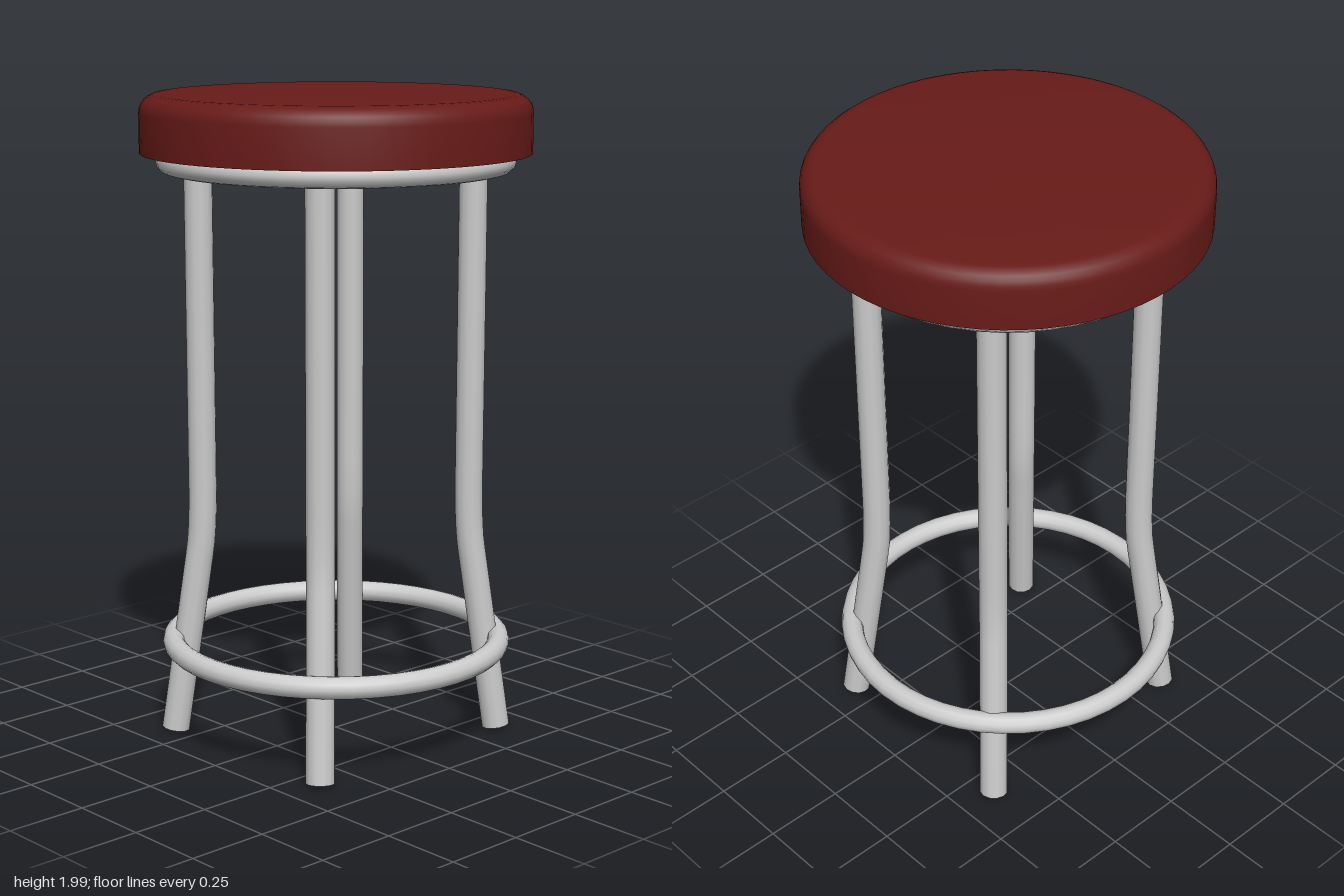
import * as THREE from 'three';
import { toCreasedNormals } from 'three/addons/utils/BufferGeometryUtils.js';

const metal = new THREE.MeshStandardMaterial({ color: 0xcccccc });
const upholstery = new THREE.MeshStandardMaterial({ color: 0x681b18 });

function addMesh(parent, name, geometry, material) {
  const mesh = new THREE.Mesh(geometry, material);
  mesh.name = name;
  parent.add(mesh);
  return mesh;
}

// Round cushion: flat underside, straight wall, rounded upper edge
function seatGeometry() {
  const radius = 0.59, bottom = 1.825, top = 2, round = 0.055;
  const profile = [new THREE.Vector2(0, bottom), new THREE.Vector2(radius, bottom)];
  for (let i = 0; i <= 6; i++) {
    const a = (i / 6) * Math.PI / 2;
    profile.push(new THREE.Vector2(
      radius - round + round * Math.cos(a),
      top - round + round * Math.sin(a)));
  }
  profile.push(new THREE.Vector2(0, top));
  return toCreasedNormals(new THREE.LatheGeometry(profile, 64), 0.7);
}

function addRing(parent, name, y) {
  const ring = addMesh(parent, name, new THREE.TorusGeometry(0.508, 0.034, 12, 48), metal);
  ring.rotation.x = Math.PI / 2;
  ring.position.y = y;
}

// Bent tube leg, closed at both ends
function addLeg(parent, name, sx, sz) {
  const at = (x, y, z) => new THREE.Vector3(sx * x, y, sz * z);
  const points = [
    at(0.27, 1.775, 0.315), at(0.268, 0.8, 0.313),
    at(0.274, 0.61, 0.318), at(0.336, 0.012, 0.378),
  ];
  const path = new THREE.CurvePath();
  path.add(new THREE.LineCurve3(points[0], points[1]));
  path.add(new THREE.QuadraticBezierCurve3(points[1], at(0.268, 0.68, 0.313), points[2]));
  path.add(new THREE.LineCurve3(points[2], points[3]));

  const leg = new THREE.Group();
  leg.name = name;
  const radius = 0.044, sides = 12;
  addMesh(leg, 'legTube', new THREE.TubeGeometry(path, 40, radius, sides), metal);
  for (const [t, label] of [[0, 'legTop'], [1, 'legFoot']]) {
    const outward = path.getTangent(t).multiplyScalar(t ? 1 : -1);
    const cap = addMesh(leg, label, new THREE.CircleGeometry(radius, 24), metal);
    cap.position.copy(points[t ? 3 : 0]);
    cap.quaternion.setFromUnitVectors(new THREE.Vector3(0, 0, 1), outward);
  }
  parent.add(leg);
}

export function createModel() {
  const stool = new THREE.Group();
  stool.name = 'stool';

  addMesh(stool, 'seat', seatGeometry(), upholstery);
  addRing(stool, 'seatRing', 1.802);
  addRing(stool, 'footRing', 0.308);

  for (const sx of [1, -1]) {
    for (const sz of [1, -1]) {
      addLeg(stool, (sz > 0 ? 'front' : 'back') + (sx > 0 ? 'Left' : 'Right') + 'Leg', sx, sz);
    }
  }
  return stool;
}
